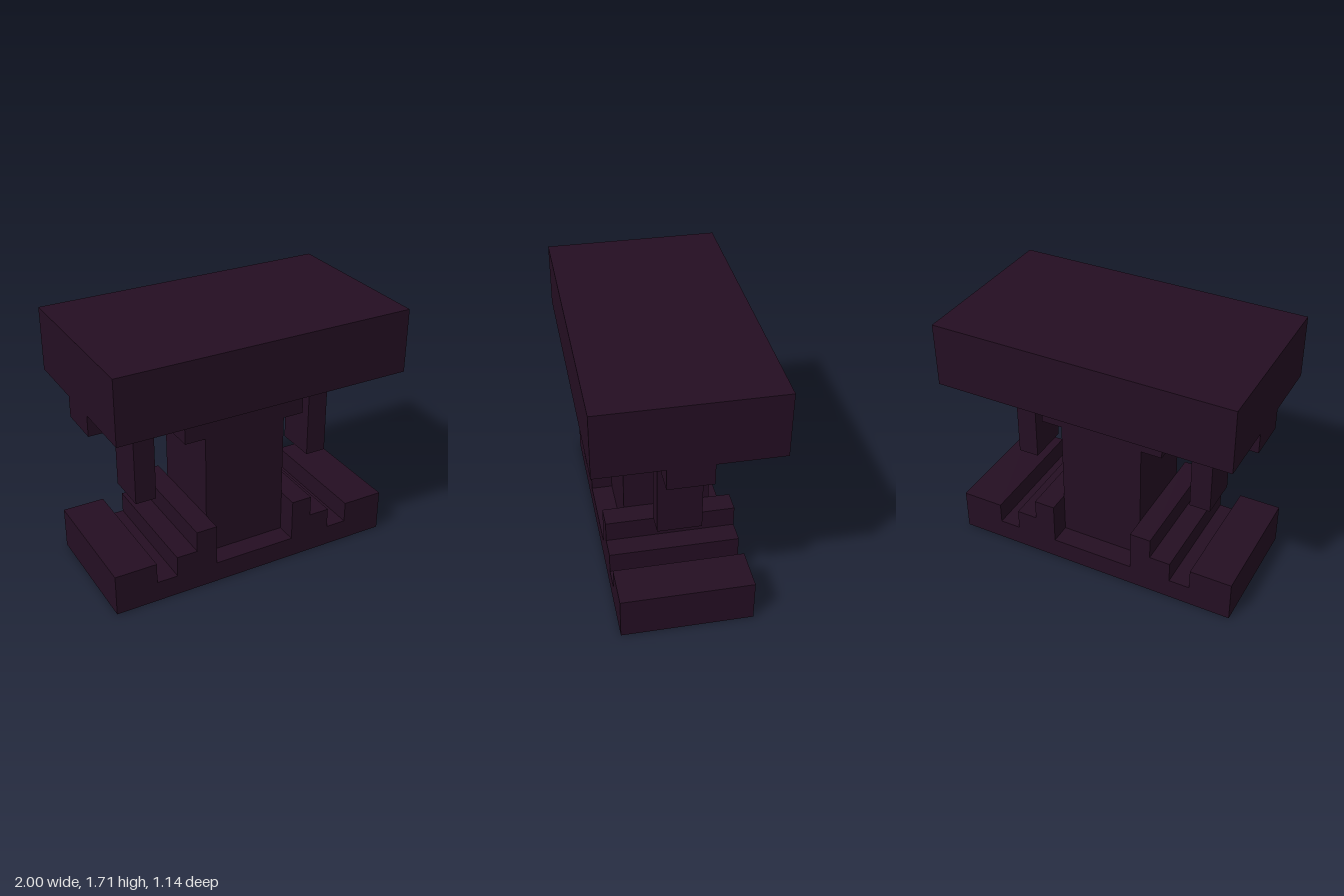
import * as THREE from 'three';

const U = 1 / 7; // one block unit

export function createModel() {
  const group = new THREE.Group();
  const darkPlum = new THREE.MeshStandardMaterial({ color: 0x240e22 });
  darkPlum.name = 'darkPlum';

  // Mirrored half-outline ([x, y] in units, right side) extruded along z, centred
  function profile(name, half, depth) {
    const left = half.map(([x, y]) => [-x, y]).reverse();
    const points = [...half, ...left].map(([x, y]) => new THREE.Vector2(x * U, y * U));
    const geometry = new THREE.ExtrudeGeometry(new THREE.Shape(points), {
      depth: depth * U, bevelEnabled: false,
    });
    geometry.translate(0, 0, -depth * U / 2);
    const mesh = new THREE.Mesh(geometry, darkPlum);
    mesh.name = name;
    group.add(mesh);
  }

  // Box spanning x0..x1 and y0..y1, centred on z
  function block(name, x0, x1, y0, y1, depth) {
    const mesh = new THREE.Mesh(
      new THREE.BoxGeometry((x1 - x0) * U, (y1 - y0) * U, depth * U), darkPlum);
    mesh.position.set((x0 + x1) / 2 * U, (y0 + y1) / 2 * U, 0);
    mesh.name = name;
    group.add(mesh);
  }

  // Base with outer feet, grooves and steps up to the column
  profile('base', [[7, 0], [7, 2], [5, 2], [5, 1], [4, 1], [4, 2], [3, 2], [3, 3], [2, 3], [2, 1]], 6);

  // Column widening in steps under the top
  profile('column', [[2, 1], [2, 7], [3, 7], [3, 8], [5, 8], [5, 9]], 4);

  // Thick top slab
  block('topSlab', -7, 7, 9, 12, 8);

  // Hanging bars and end tabs on both sides
  for (const [side, s] of [['left', 1], ['right', -1]]) {
    const span = (a, b) => (s > 0 ? [a, b] : [-b, -a]);
    block(side + 'HangingBar', ...span(4, 5), 4, 8, 2);
    block(side + 'EndTab', ...span(6, 7), 8, 9, 2);
  }

  return group;
}
